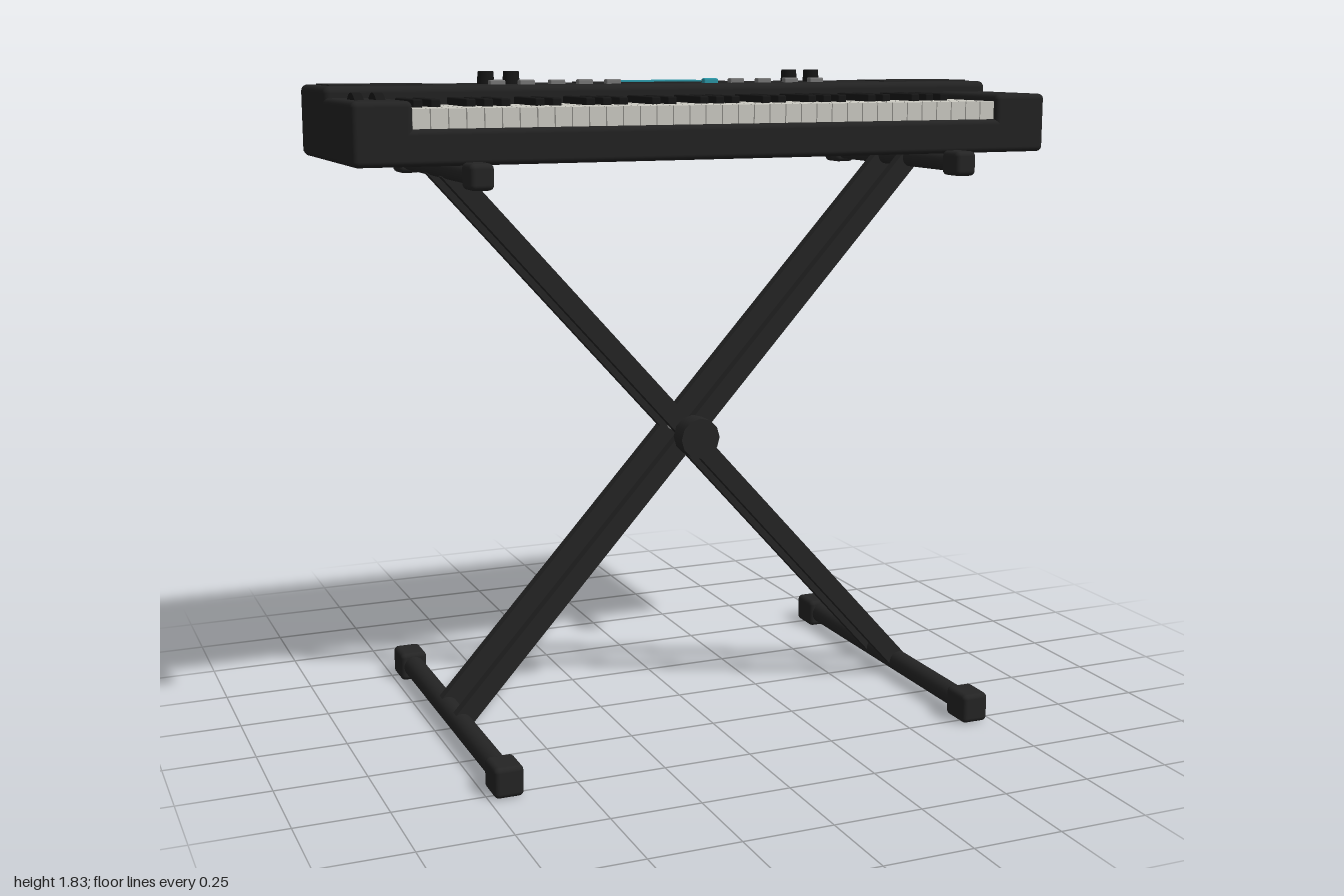
import * as THREE from 'three';
import { RoundedBoxGeometry } from 'three/addons/geometries/RoundedBoxGeometry.js';

const material = (name, color) => {
  const m = new THREE.MeshStandardMaterial({ color });
  m.name = name;
  return m;
};

export function createModel() {
  const model = new THREE.Group();
  model.name = 'keyboardOnStand';
  const casing = material('casing black', 0x222222);
  const stand = material('stand black', 0x242424);
  const dark = material('deep black', 0x161616);
  const white = material('key white', 0xcccbc3);
  const grey = material('button grey', 0x777777);
  const teal = material('screen teal', 0x2a96a6);
  const steel = material('bolt steel', 0xbcbcbc);

  const add = (parent, name, geometry, mat, x = 0, y = 0, z = 0) => {
    const mesh = new THREE.Mesh(geometry, mat);
    mesh.name = name;
    mesh.position.set(x, y, z);
    parent.add(mesh);
    return mesh;
  };
  const group = (name) => {
    const g = new THREE.Group();
    g.name = name;
    model.add(g);
    return g;
  };
  // Box given by its limits on each axis, with rounded edges when r > 0
  const block = (parent, name, mat, [x0, x1], [y0, y1], [z0, z1], r = 0) => {
    const size = [x1 - x0, y1 - y0, z1 - z0];
    const geometry = r ? new RoundedBoxGeometry(...size, 3, r) : new THREE.BoxGeometry(...size);
    return add(parent, name, geometry, mat, (x0 + x1) / 2, (y0 + y1) / 2, (z0 + z1) / 2);
  };

  // Casing: tray under the keys, raised control panel, end cheeks
  const body = group('casing');
  block(body, 'keyTray', casing, [-1, 1], [1.607, 1.70], [-0.3, 0.315], 0.015);
  block(body, 'controlPanel', casing, [-1, 1], [1.607, 1.80], [-0.315, -0.003], 0.018);
  block(body, 'rightCheek', casing, [-1, -0.845], [1.607, 1.77], [-0.1, 0.315], 0.015);
  block(body, 'leftCheek', casing, [0.84, 1], [1.607, 1.77], [-0.1, 0.315], 0.015);

  // White keys: five octaves and a final C; black keys sit on the joints
  const keys = group('keys');
  const first = -0.845, whiteCount = 36, pitch = 1.685 / whiteCount;
  for (let i = 0; i < whiteCount; i++) {
    const x = first + i * pitch;
    block(keys, 'whiteKey', white, [x + 0.0015, x + pitch - 0.0015], [1.70, 1.75], [-0.01, 0.302]);
    if (i < whiteCount - 1 && ![2, 6].includes(i % 7)) {
      const c = x + pitch;
      block(keys, 'blackKey', dark, [c - 0.013, c + 0.013], [1.72, 1.77], [-0.01, 0.182], 0.004);
    }
  }

  // Control panel: speaker grilles, screen, buttons and knobs
  const controls = group('controls');
  for (const s of [-1, 1]) {
    const grille = [s * 0.83 - 0.14, s * 0.83 + 0.14];
    block(controls, 'speakerGrille', casing, grille, [1.798, 1.803], [-0.24, -0.07]);
  }
  block(controls, 'screenBezel', casing, [-0.23, 0.23], [1.798, 1.803], [-0.25, -0.115]);
  block(controls, 'screen', teal, [-0.13, 0.127], [1.80, 1.807], [-0.23, -0.14]);
  const buttonXs = [-0.51, -0.425, -0.337, -0.255, -0.172, 0.125, 0.207, 0.293, 0.38, 0.462];
  for (const x of buttonXs) {
    block(controls, 'button', x === 0.125 ? teal : grey,
      [x - 0.022, x + 0.022], [1.795, 1.813], [-0.086, -0.062], 0.004);
  }
  const knobGeometry = new THREE.CylinderGeometry(0.022, 0.024, 0.035, 24);
  for (const x of [-0.508, -0.434, 0.43, 0.503]) {
    add(controls, 'knob', knobGeometry, dark, x, 1.817, -0.185);
  }

  // Pitch and modulation wheels
  const wheelGeometry = new THREE.CylinderGeometry(0.06, 0.06, 0.024, 32);
  for (const x of [-0.953, -0.898]) {
    add(controls, 'wheel', wheelGeometry, dark, x, 1.728, 0.157).rotation.z = Math.PI / 2;
  }

  // Folding stand: two crossed pairs of flat bars
  const frame = group('stand');
  const reach = 0.695, low = 0.045, high = 1.583, middle = (low + high) / 2;
  const barGeometry = new THREE.BoxGeometry(Math.hypot(2 * reach, high - low), 0.055, 0.03);
  for (const z of [-0.073, 0.073]) {
    for (const s of [-1, 1]) {
      add(frame, 'crossBar', barGeometry, stand, 0, middle, z)
        .rotation.z = s * Math.atan2(high - low, 2 * reach);
    }
  }

  // Foot tubes and support tubes with rounded end caps
  const rail = (name, x, y, radius, half, capLength, capSize) => {
    const tube = new THREE.CylinderGeometry(radius, radius, 2 * half - 0.04, 24);
    add(frame, name, tube, stand, x, y, 0).rotation.x = Math.PI / 2;
    const cap = new RoundedBoxGeometry(capSize * 0.95, capSize, capLength, 3, 0.014);
    for (const s of [-1, 1]) {
      add(frame, name + 'Cap', cap, stand, x, y, s * (half - capLength / 2));
    }
  };
  for (const s of [-1, 1]) {
    rail('foot', s * reach, 0.042, 0.031, 0.535, 0.1, 0.084);
    rail('support', s * reach, 1.583, 0.025, 0.4, 0.083, 0.068);
  }

  // Pivot bolt with its locking knob
  const bolt = new THREE.CylinderGeometry(0.014, 0.014, 0.25, 16);
  add(frame, 'pivotBolt', bolt, steel, 0, middle, -0.01).rotation.x = Math.PI / 2;
  const lock = new THREE.CylinderGeometry(0.058, 0.058, 0.06, 12);
  add(frame, 'lockingKnob', lock, stand, 0, middle, 0.127).rotation.x = Math.PI / 2;

  return model;
}
